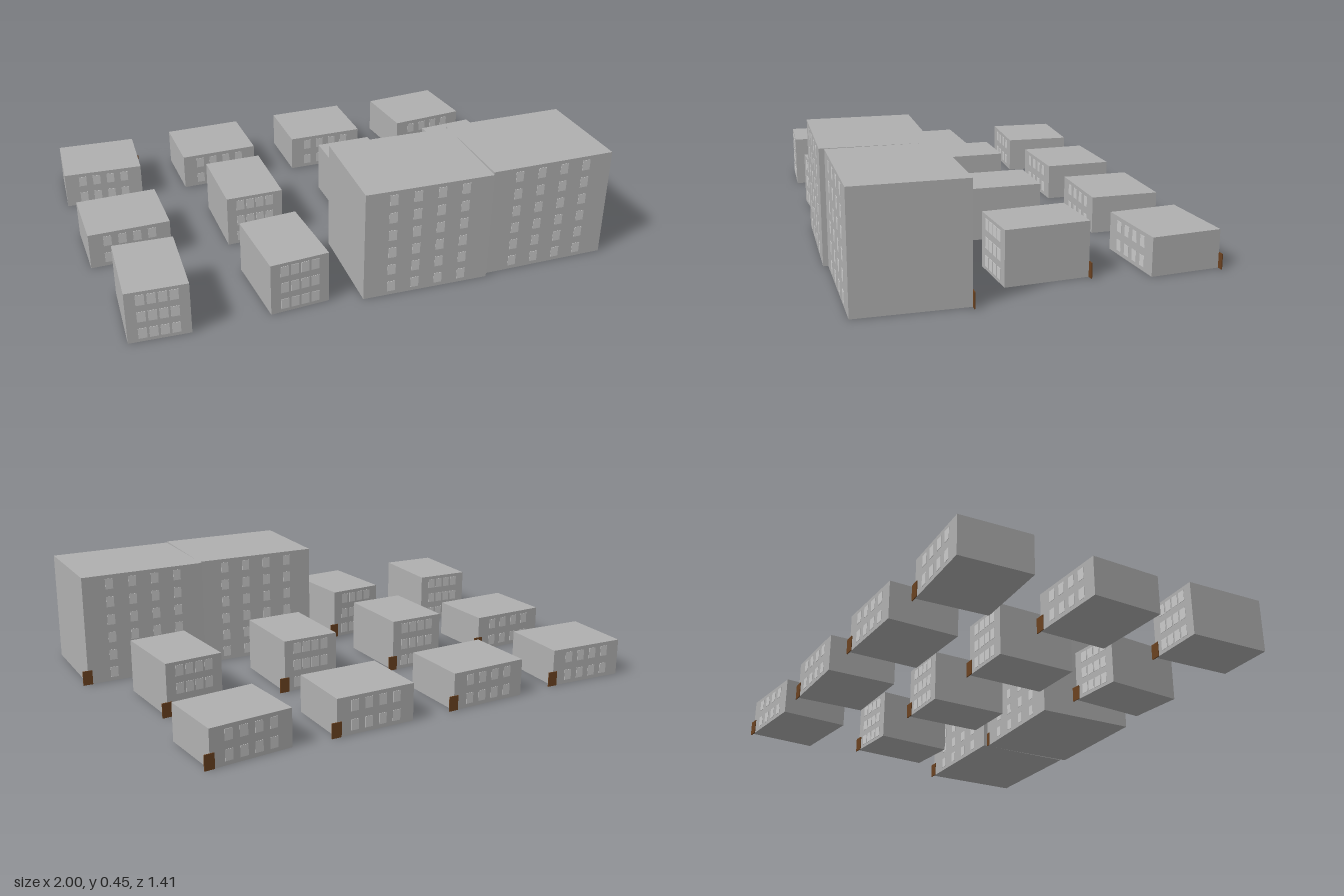
import * as THREE from 'three';

const wallMat = new THREE.MeshStandardMaterial({ color: 0xb0b0b0 });
wallMat.name = 'concrete grey';
const windowMat = new THREE.MeshStandardMaterial({ color: 0xcacaca });
windowMat.name = 'window pale grey';
const doorMat = new THREE.MeshStandardMaterial({ color: 0x6b4220 });
doorMat.name = 'door brown';

function addBox(parent, name, mat, [w, h, d], [x, y, z]) {
  const mesh = new THREE.Mesh(new THREE.BoxGeometry(w, h, d), mat);
  mesh.name = name;
  mesh.position.set(x, y, z);
  parent.add(mesh);
}

// Block with a grid of windows on front and back, and a door at the back left corner
function makeBuilding({ width, height, depth, floors }) {
  const g = new THREE.Group();
  addBox(g, 'walls', wallMat, [width, height, depth], [0, height / 2, 0]);

  const floorHeight = height / floors;
  const pitch = (width - 0.03) / 5;
  for (const side of [1, -1]) {
    for (let f = 0; f < floors; f++) {
      for (let c = 0; c < 4; c++) {
        addBox(g, side > 0 ? 'frontWindow' : 'backWindow', windowMat, [0.032, 0.043, 0.003],
          [(c - 1.5) * pitch, (f + 0.5) * floorHeight, side * depth / 2]);
      }
    }
  }
  addBox(g, 'door', doorMat, [0.04, 0.06, 0.004], [width / 2 + 0.002, 0.03, -depth / 2 - 0.001]);
  return g;
}

const low = { name: 'lowHouse', width: 0.327, height: 0.15, depth: 0.28, floors: 2 };
const mid = { name: 'midHouse', width: 0.233, height: 0.213, depth: 0.327, floors: 3 };
const tall = { name: 'apartmentBlock', width: 0.51, height: 0.45, depth: 0.42, floors: 6 };

// Rows from back to front: building type and its slight turn
const layout = [
  [[low, -0.072], [low, 0], [low, -0.015], [low, 0.07]],
  [[low, -0.003], [mid, -0.012], [mid, -0.012], [mid, 0.055]],
  [[mid, -0.065], [mid, 0.052], [tall, -0.049], [tall, -0.025]],
];

export function createModel() {
  const model = new THREE.Group();
  model.name = 'housingEstate';
  layout.forEach((row, r) => row.forEach(([type, turn], c) => {
    const b = makeBuilding(type);
    b.name = type.name;
    b.position.set(-0.826 + c * 0.5143, 0, -0.554 + r * 0.515);
    b.rotation.y = turn;
    model.add(b);
  }));
  return model;
}
